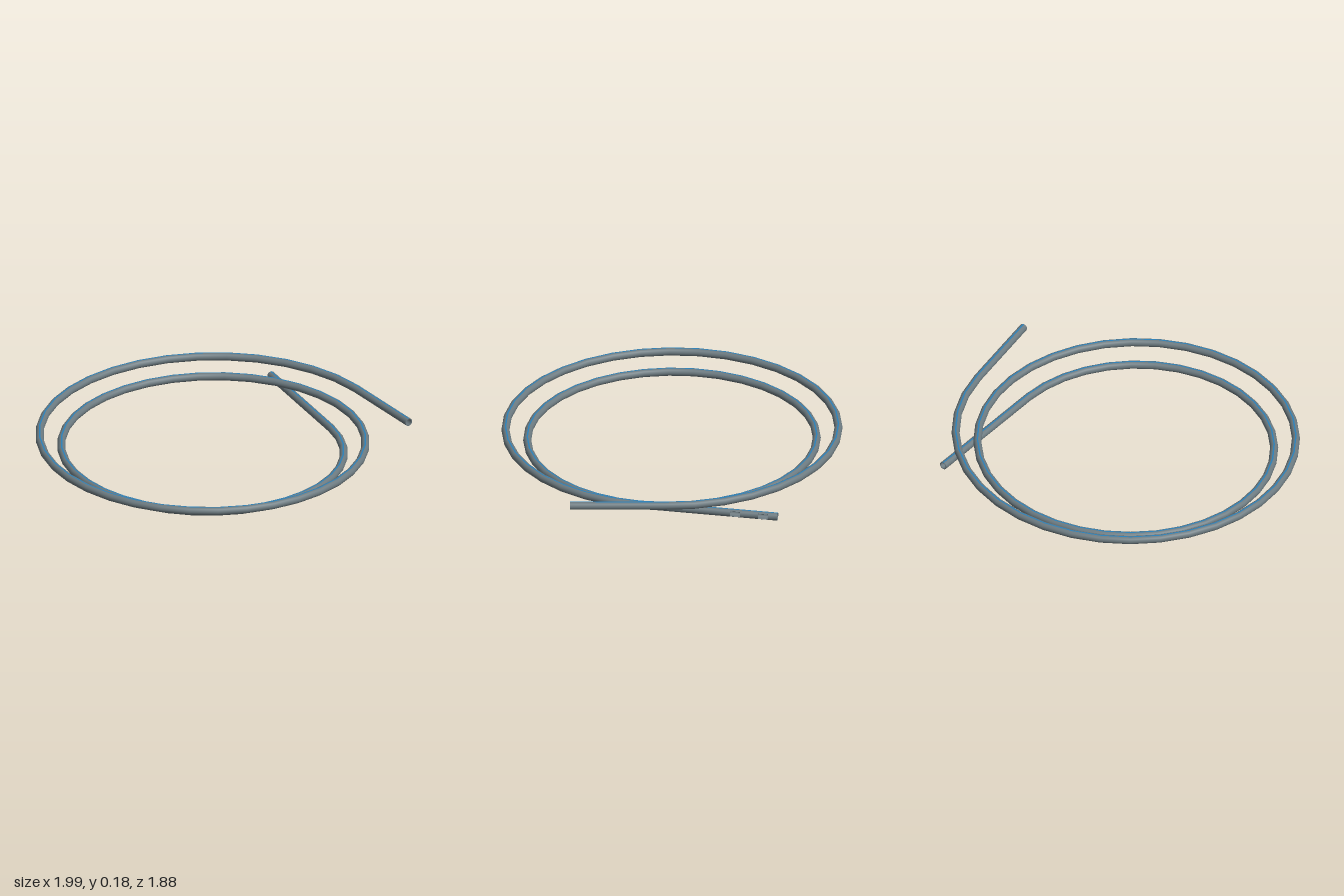
import * as THREE from 'three';
import { mergeGeometries, mergeVertices } from 'three/addons/utils/BufferGeometryUtils.js';

const OUTER = 0.0225, INNER = 0.018, SIDES = 16;

// Surface through successive rows of points
function loft(rows) {
  const n = rows[0].length, index = [];
  for (let i = 0; i < rows.length - 1; i++) {
    for (let j = 0; j < n - 1; j++) {
      const a = i * n + j, b = a + n;
      index.push(a, a + 1, b, a + 1, b + 1, b);
    }
  }
  let g = new THREE.BufferGeometry().setFromPoints(rows.flat());
  g.setIndex(index);
  g = mergeVertices(g, 1e-5);
  g.computeVertexNormals();
  return g;
}

// Centre line: straight inner tail, two spiral turns, straight outer tail
function coilPath() {
  const start = new THREE.Vector3(0.722, 0.0235, -0.672);
  const spiral = [];
  for (let deg = 5; deg <= 715; deg += 10) {
    const t = deg * Math.PI / 180;
    const r = 0.74 + 0.12 * deg / 360;
    spiral.push(new THREE.Vector3(-0.055 + r * Math.cos(t), 0.0355 + 0.0632 * deg / 360, 0.025 + r * Math.sin(t)));
  }
  // extra stations where the slots begin and end
  const stations = [-0.62, -0.565, -0.465, -0.41].map(z =>
    start.clone().lerp(spiral[0], (z - start.z) / (spiral[0].z - start.z)));
  return [start, ...stations, ...spiral, new THREE.Vector3(0.973, 0.1625, 0.453)];
}

export function createModel() {
  const pipeMat = new THREE.MeshStandardMaterial({ color: 0x6c7a80, side: THREE.DoubleSide });
  pipeMat.name = 'grey pipe';
  const stripeMat = new THREE.MeshStandardMaterial({ color: 0x2a80b9, side: THREE.DoubleSide });
  stripeMat.name = 'blue stripe';

  const path = coilPath();
  const frames = path.map((p, i) => {
    const tangent = path[Math.min(i + 1, path.length - 1)].clone().sub(path[Math.max(i - 1, 0)]).normalize();
    const side = new THREE.Vector3(tangent.z, 0, -tangent.x).normalize();
    return { p, side, up: tangent.clone().cross(side) };
  });

  // Point on station i at angle a (0 = outward from the coil, 90 degrees = top)
  const at = (i, a, r) => {
    const { p, side, up } = frames[i];
    return p.clone().addScaledVector(side, r * Math.cos(a)).addScaledVector(up, r * Math.sin(a));
  };
  const arc = (from, to, n) => Array.from({ length: n + 1 }, (_, j) => from + (to - from) * j / n);
  const ring = (i, angles, r) => angles.map(a => at(i, a, r));
  const sweep = (i0, i1, angles, r) => {
    const rows = [];
    for (let i = i0; i <= i1; i++) rows.push(ring(i, angles, r));
    return loft(rows);
  };

  const full = arc(0, 2 * Math.PI, SIDES);
  const q = Math.PI / 4;
  const slotOpen = arc(-q, q, SIDES / 4);
  const slotWall = arc(q, 2 * Math.PI - q, SIDES * 3 / 4);
  const last = path.length - 1;

  const group = new THREE.Group();
  group.name = 'pipeCoil';
  const add = (name, parts, material) => {
    const mesh = new THREE.Mesh(mergeGeometries(parts), material);
    mesh.name = name;
    group.add(mesh);
  };

  // Pipe walls, interrupted by two slots on the inner tail
  for (const [name, r] of [['pipeOuterWall', OUTER], ['pipeBore', INNER]]) {
    add(name, [
      sweep(0, 1, full, r), sweep(1, 2, slotWall, r), sweep(2, 3, full, r),
      sweep(3, 4, slotWall, r), sweep(4, last, full, r),
    ], pipeMat);
  }

  // Annular cut ends
  add('pipeEnds', [0, last].map(i => loft([ring(i, full, INNER), ring(i, full, OUTER)])), pipeMat);

  // Slot rims join the outer wall to the bore
  const rims = [];
  for (const i of [1, 3]) {
    for (const k of [i, i + 1]) rims.push(loft([ring(k, slotOpen, INNER), ring(k, slotOpen, OUTER)]));
    for (const a of [-q, q]) rims.push(loft([INNER, OUTER].map(r => [at(i, a, r), at(i + 1, a, r)])));
  }
  add('slotRims', rims, pipeMat);

  // Thin stripe along the top of the pipe
  const top = Math.PI / 2;
  add('topStripe', [sweep(0, last, arc(top - 0.18, top + 0.18, 2), OUTER + 0.0005)], stripeMat);

  return group;
}
